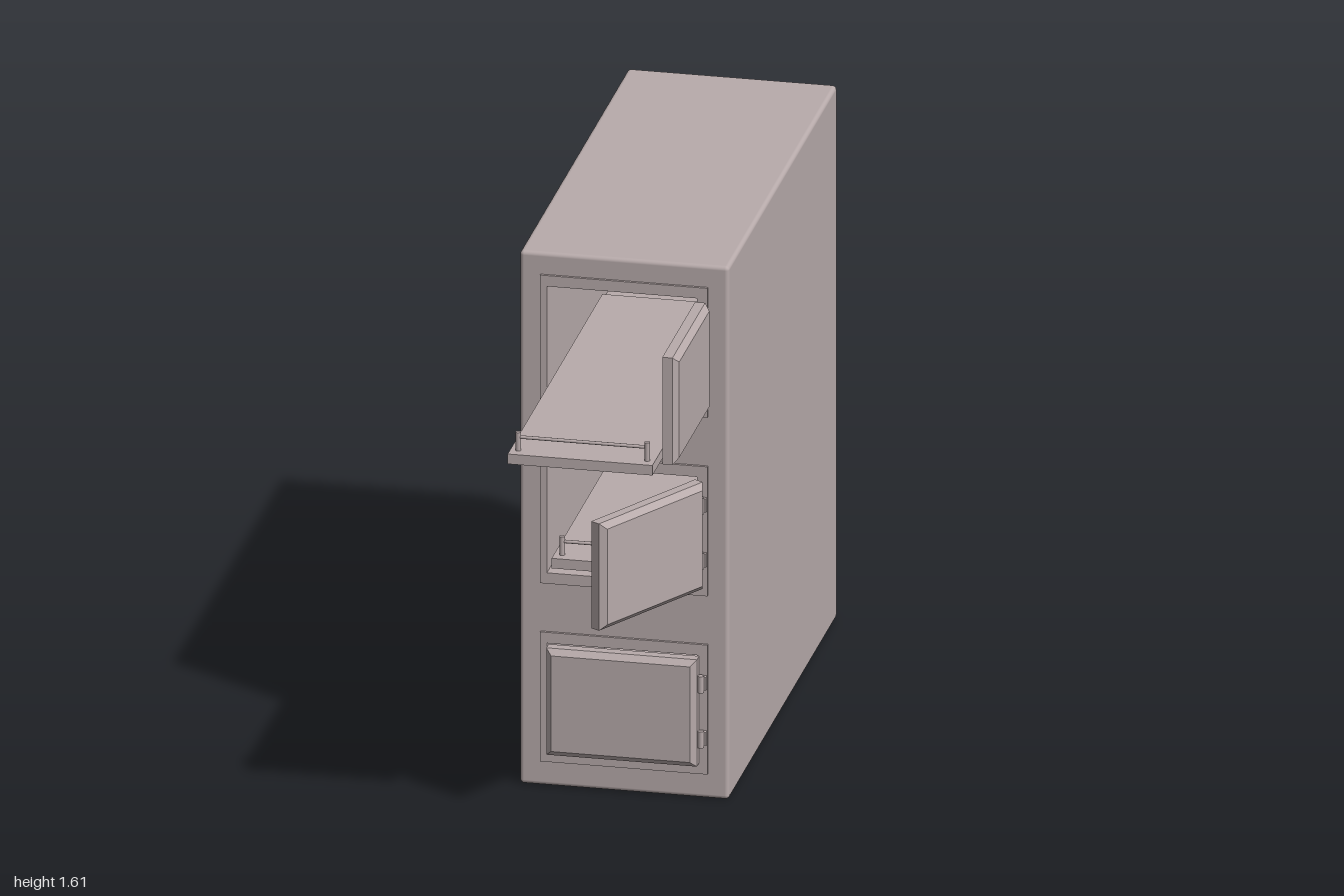
import * as THREE from 'three';
import { RoundedBoxGeometry } from 'three/addons/geometries/RoundedBoxGeometry.js';

const material = new THREE.MeshStandardMaterial({ color: 0xb8abab });
const W = 0.6, H = 1.605, BACK = -1, FRONT = 0.43, EDGE = 0.012;
const OPEN_W = 0.43, OPEN_H = 0.325, OPEN_X = -0.005;

function add(parent, name, geometry, x = 0, y = 0, z = 0) {
  const mesh = new THREE.Mesh(geometry, material);
  mesh.name = name;
  mesh.position.set(x, y, z);
  parent.add(mesh);
  return mesh;
}

// Joins rectangular cross-sections [width, height, z, centreX] with flat faces
function rectLoft(sections, capStart, capEnd) {
  const rings = sections.map(([w, h, z, cx = 0]) =>
    [[-1, -1], [1, -1], [1, 1], [-1, 1]].map(([sx, sy]) => [cx + sx * w / 2, sy * h / 2, z]));
  const out = [];
  const quad = (a, b, c, d) => out.push(...a, ...b, ...c, ...a, ...c, ...d);
  for (let r = 0; r < rings.length - 1; r++) {
    for (let i = 0; i < 4; i++) {
      const j = (i + 1) % 4;
      quad(rings[r][i], rings[r][j], rings[r + 1][j], rings[r + 1][i]);
    }
  }
  if (capStart) quad(...[...rings[0]].reverse());
  if (capEnd) quad(...rings[rings.length - 1]);
  const g = new THREE.BufferGeometry();
  g.setAttribute('position', new THREE.Float32BufferAttribute(out, 3));
  g.computeVertexNormals();
  return g;
}

// Rounded box with its flat front removed
function shellGeometry() {
  const box = new RoundedBoxGeometry(W, H, FRONT - BACK, 3, EDGE);
  const p = box.attributes.position, n = box.attributes.normal;
  const zMax = (FRONT - BACK) / 2 - 1e-4;
  const pos = [], nor = [];
  for (let i = 0; i < p.count; i += 3) {
    if ([0, 1, 2].every(k => p.getZ(i + k) > zMax)) continue;
    for (let k = i; k < i + 3; k++) {
      pos.push(p.getX(k), p.getY(k), p.getZ(k));
      nor.push(n.getX(k), n.getY(k), n.getZ(k));
    }
  }
  const g = new THREE.BufferGeometry();
  g.setAttribute('position', new THREE.Float32BufferAttribute(pos, 3));
  g.setAttribute('normal', new THREE.Float32BufferAttribute(nor, 3));
  return g;
}

function rectPath(path, cx, cy, w, h) {
  path.moveTo(cx - w / 2, cy - h / 2);
  path.lineTo(cx + w / 2, cy - h / 2);
  path.lineTo(cx + w / 2, cy + h / 2);
  path.lineTo(cx - w / 2, cy + h / 2);
  path.closePath();
  return path;
}

// Door hung on its pivot, with a recessed back and a chamfered front
function makeDoor(angle) {
  const door = new THREE.Group();
  door.name = 'door';
  const w = 0.432, h = 0.322;
  add(door, 'doorPanel', rectLoft([
    [w - 0.05, h - 0.05, -0.003], [w - 0.05, h - 0.05, -0.015], [w, h, -0.015],
    [w, h, 0.014], [w - 0.034, h - 0.034, 0.03],
  ], true, true), -0.008 - w / 2);
  for (const y of [-0.083, 0.083]) {
    add(door, 'hingeDoorLeaf', new THREE.BoxGeometry(0.018, 0.035, 0.006), -0.008, y, 0);
  }
  door.position.set(0.225, 0, 0.455);
  door.rotation.y = angle;
  return door;
}

// Sliding tray with a rail along its front
function makeTray(front) {
  const tray = new THREE.Group();
  tray.name = 'tray';
  const length = 1.25;
  add(tray, 'trayBoard', new THREE.BoxGeometry(0.415, 0.03, length), 0, 0, -length / 2);
  for (const x of [-0.185, 0.185]) {
    add(tray, 'railPost', new THREE.CylinderGeometry(0.008, 0.008, 0.055, 12), x, 0.0425, -0.035);
  }
  const bar = new THREE.CylinderGeometry(0.005, 0.005, 0.37, 10).rotateZ(Math.PI / 2);
  add(tray, 'railBar', bar, 0, 0.055, -0.035);
  tray.position.set(-0.003, -0.14, front);
  return tray;
}

export function createModel() {
  const model = new THREE.Group();
  model.name = 'threeDoorCabinet';
  const rows = [
    { y: 1.345, angle: Math.PI / 2, tray: 1.0 },
    { y: 0.807, angle: Math.PI / 3, tray: 0.42 },
    { y: 0.27, angle: 0, tray: 0.42 },
  ];

  // Outer body and pierced front
  add(model, 'bodyShell', shellGeometry(), 0, H / 2, (FRONT + BACK) / 2);
  const face = rectPath(new THREE.Shape(), 0, H / 2, W - 2 * EDGE, H - 2 * EDGE);
  for (const { y } of rows) face.holes.push(rectPath(new THREE.Path(), OPEN_X, y, OPEN_W, OPEN_H));
  add(model, 'bodyFront', new THREE.ShapeGeometry(face), 0, 0, FRONT);

  // Compartments
  rows.forEach(({ y, angle, tray }, i) => {
    const unit = new THREE.Group();
    unit.name = ['upper', 'middle', 'lower'][i] + 'Compartment';
    unit.position.y = y;
    model.add(unit);
    add(unit, 'frameAndLining', rectLoft([
      [0.48, 0.39, FRONT], [0.48, 0.39, FRONT + 0.008],
      [OPEN_W, OPEN_H, FRONT + 0.008, OPEN_X], [OPEN_W, OPEN_H, -0.9, OPEN_X],
    ], false, true));
    for (const s of [-0.083, 0.083]) {
      add(unit, 'hingePin', new THREE.CylinderGeometry(0.009, 0.009, 0.05, 12), 0.225, s, 0.455);
      add(unit, 'hingeFrameLeaf', new THREE.BoxGeometry(0.02, 0.04, 0.014), 0.229, s, 0.444);
    }
    unit.add(makeDoor(angle), makeTray(tray));
  });
  return model;
}
